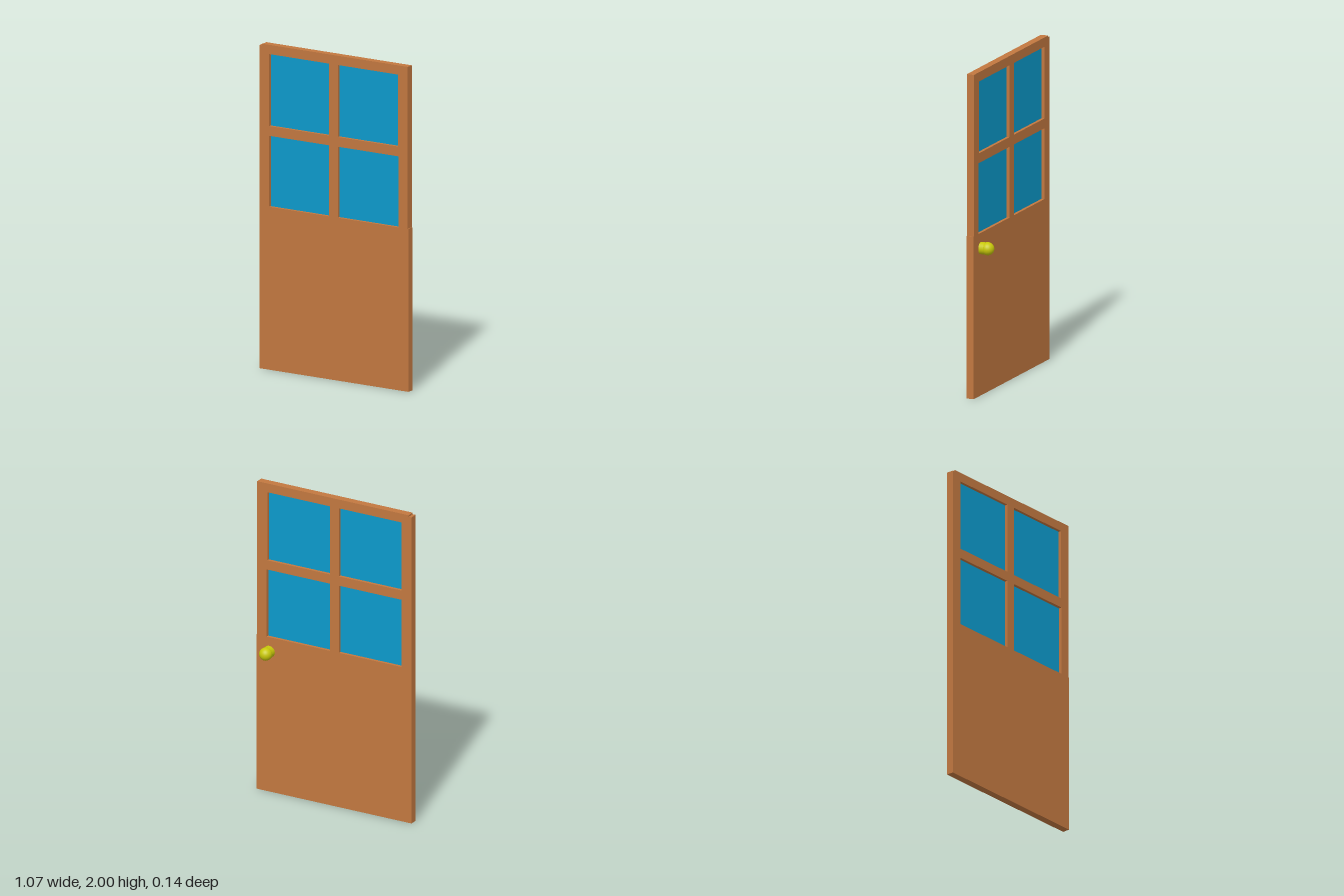
import * as THREE from 'three';

const wood = new THREE.MeshStandardMaterial({ name: 'wood', color: 0xc27840 });
const glass = new THREE.MeshStandardMaterial({ name: 'blueGlass', color: 0x0c9acc });
const brass = new THREE.MeshStandardMaterial({ name: 'yellowBrass', color: 0xc8c80a });

const BACK = 0.02, THICK = 0.047;

// Window openings: [left, right, bottom, top]
const openings = [
  [-0.465, -0.035, 1.003, 1.44],
  [0.027, 0.462, 1.003, 1.44],
  [-0.465, -0.035, 1.5, 1.943],
  [0.027, 0.458, 1.5, 1.943],
];

function add(parent, name, geometry, material, x, y, z) {
  const mesh = new THREE.Mesh(geometry, material);
  mesh.name = name;
  mesh.position.set(x, y, z);
  parent.add(mesh);
  return mesh;
}

export function createModel() {
  const door = new THREE.Group();
  door.name = 'door';

  // Door slab with small steps at its edges and four window openings
  const outline = new THREE.Shape([
    [-0.535, 0], [0.532, 0], [0.532, 1.003], [0.527, 1.003],
    [0.527, 2], [-0.515, 2], [-0.515, 1.99], [-0.535, 1.99],
  ].map(([x, y]) => new THREE.Vector2(x, y)));
  for (const [l, r, b, t] of openings) {
    outline.holes.push(new THREE.Path([
      new THREE.Vector2(l, b), new THREE.Vector2(l, t),
      new THREE.Vector2(r, t), new THREE.Vector2(r, b),
    ]));
  }
  const slab = new THREE.ExtrudeGeometry(outline, { depth: THICK, bevelEnabled: false });
  add(door, 'doorSlab', slab, wood, 0, 0, BACK);

  // Recessed panes
  for (const [l, r, b, t] of openings) {
    add(door, 'windowPane', new THREE.BoxGeometry(r - l, t - b, 0.009), glass,
      (l + r) / 2, (b + t) / 2, BACK + THICK / 2);
  }

  // Knob on the back: short neck and round ball
  const knob = new THREE.Group();
  knob.name = 'doorKnob';
  knob.position.set(0.44, 0.913, 0);
  door.add(knob);
  const neck = add(knob, 'knobNeck', new THREE.CylinderGeometry(0.037, 0.037, 0.045, 24), brass, 0, 0, -0.0075);
  neck.rotation.x = Math.PI / 2;
  add(knob, 'knobBall', new THREE.SphereGeometry(0.04, 24, 16), brass, 0, 0, -0.03);

  return door;
}
